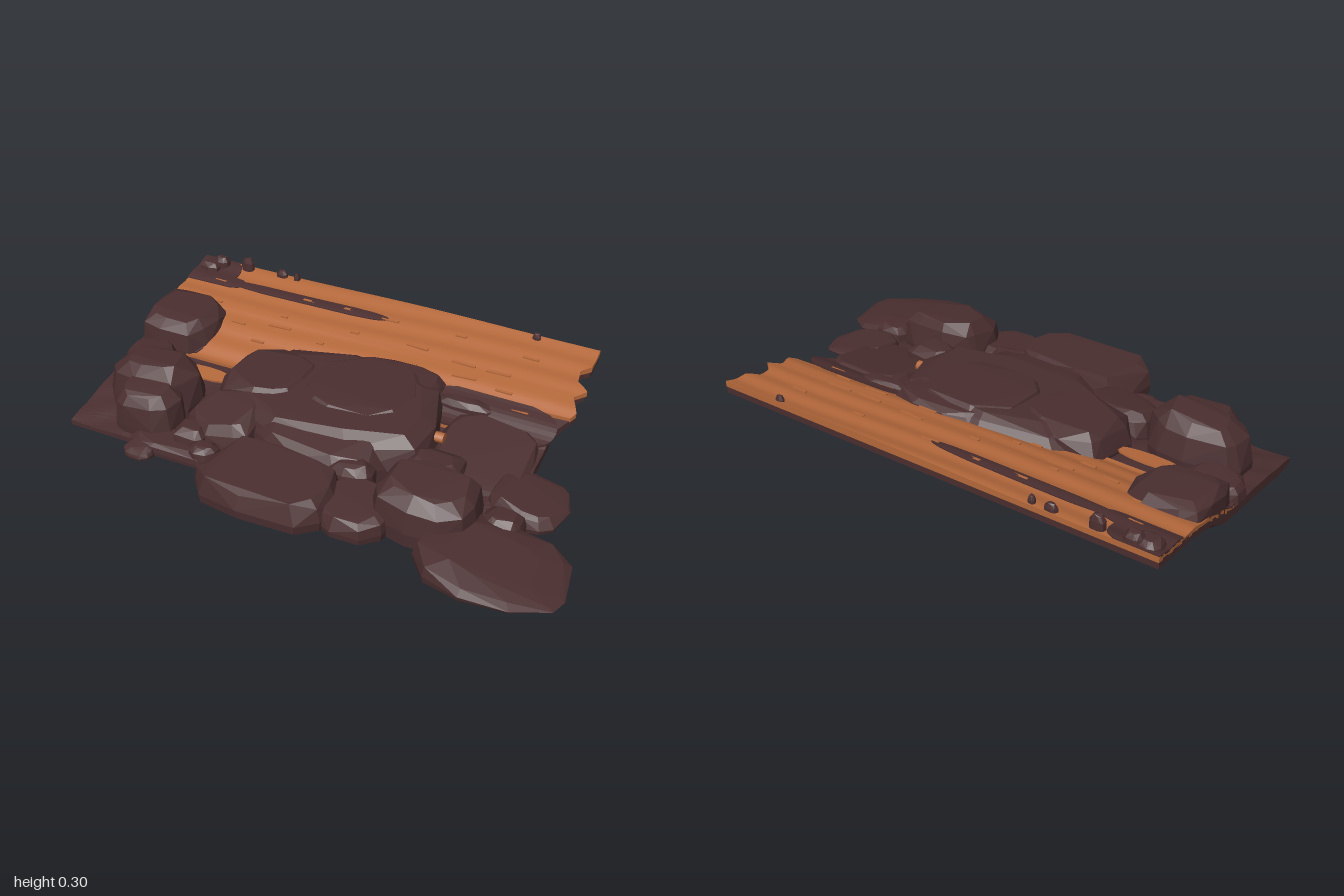
import * as THREE from 'three';
import { ConvexGeometry } from 'three/addons/geometries/ConvexGeometry.js';

// Seeded noise for chipped rock corners and splinters
let seed = 11;
const rnd = () => (seed = (seed * 16807) % 2147483647) / 2147483647;
const jit = (a) => (rnd() - 0.5) * 2 * a;

// Piecewise linear lookup in [[key, value], ...]
function lookup(table, k) {
  for (let i = 1; i < table.length; i++) {
    const [a, va] = table[i - 1], [b, vb] = table[i];
    if (k <= b) return va + (vb - va) * Math.max(0, (k - a) / (b - a));
  }
  return table[table.length - 1][1];
}

// Profiles along z: underside, top of the bedrock, and the broken right edge
const UNDER = [[-0.63, 0.2], [-0.4, 0.168], [-0.25, 0.125], [-0.17, 0.075], [0.1, 0.035], [0.3, 0], [0.64, 0.012]];
const TOP = [[-0.63, 0.23], [-0.36, 0.185], [-0.25, 0.15], [-0.12, 0.1], [0.05, 0.08], [0.25, 0.05], [0.38, 0.022]];
const RIGHT = [[-0.53, 0.745], [-0.5, 0.71], [-0.44, 0.72], [-0.4, 0.77], [-0.36, 0.73], [-0.29, 0.765], [-0.2, 0.71], [0.38, 0.71]];
const under = (z) => lookup(UNDER, z);
const top = (z) => lookup(TOP, z);
const right = (z) => lookup(RIGHT, z);
// Boards: shallow lengthwise ridges and a soft swell in the middle
const wood = (x, z) => top(z) + 0.013 + 0.003 * Math.sin(z * 58 + Math.sin(x * 3)) + 0.007 * Math.exp(-x * x * 5);

// Closed sheet between two height functions, lofted along z
function sheet(z0, z1, nz, nx, left, rightEdge, low, high) {
  const pos = [], idx = [], m = nx + 1, ring = 2 * m;
  for (let r = 0; r <= nz; r++) {
    const z = z0 + (z1 - z0) * r / nz, a = left(z), b = rightEdge(z);
    for (let i = 0; i < m; i++) { const x = a + (b - a) * i / nx; pos.push(x, high(x, z), z); }
    for (let i = nx; i >= 0; i--) { const x = a + (b - a) * i / nx; pos.push(x, low(x, z), z); }
  }
  for (let r = 0; r < nz; r++) for (let i = 0; i < ring; i++) {
    const a = r * ring + i, b = r * ring + (i + 1) % ring, c = a + ring, d = b + ring;
    idx.push(a, c, b, b, c, d);
  }
  const e = nz * ring;
  for (let i = 0; i < nx; i++) {
    const p = i + 1, q = ring - 2 - i, s = ring - 1 - i;
    idx.push(i, p, q, i, q, s, e + i, e + q, e + p, e + i, e + s, e + q);
  }
  const indexed = new THREE.BufferGeometry();
  indexed.setAttribute('position', new THREE.Float32BufferAttribute(pos, 3));
  indexed.setIndex(idx);
  const g = indexed.toNonIndexed();
  g.computeVertexNormals();
  return g;
}

// Chipped stone: a squarish plan outline rising from the sloping underside to a
// smaller tilted top, cut off at the left edge
function stoneGeometry(x, z, rx, rz, y1, tiltX = 0, tiltZ = 0, crown = 0.55) {
  const n = 11, pts = [];
  const square = (v) => Math.sign(v) * Math.abs(v) ** 0.72;
  for (let i = 0; i < n; i++) {
    const a = (i + jit(0.3)) / n * Math.PI * 2, k = 1 + jit(0.05);
    const ox = square(Math.cos(a)) * rx * k, oz = square(Math.sin(a)) * rz * k;
    for (const [inset, t] of [[0.98, 0], [1, 0.3], [0.9, 0.76], [crown, 0.98]]) {
      const f = inset + (inset < 0.95 ? jit(0.08) : 0), px = ox * f, pz = oz * f;
      const base = under(z + pz) + 0.004, peak = y1 + px * tiltX + pz * tiltZ;
      const y = base + (peak - base) * (t + (t > 0.5 ? jit(0.035) : 0));
      pts.push(new THREE.Vector3(Math.max(-1, x + px), Math.max(y, base), z + pz));
    }
  }
  return new ConvexGeometry(pts);
}

// Stones by area: x, z, half width, half depth, top, tiltX, tiltZ, crown
const HEAP = {
  centreHeap: [-0.07, -0.01, 0.43, 0.28, 0.2, 0.02, -0.08, 0.76],
  heapCap: [0.02, -0.07, 0.24, 0.2, 0.212, 0, -0.05, 0.8],
  heapBackStone: [0.08, -0.2, 0.21, 0.11, 0.208, 0, -0.03, 0.75],
  heapLeftStone: [-0.35, -0.03, 0.19, 0.18, 0.205, 0.03, -0.06, 0.7],
  heapFrontStone: [-0.02, 0.2, 0.28, 0.12, 0.165, 0, -0.22, 0.72],
  heapFrontLeftStone: [-0.41, 0.2, 0.15, 0.13, 0.155, 0.1, -0.25, 0.7],
  frontSlab: [-0.1, 0.44, 0.27, 0.16, 0.135, 0, -0.06, 0.84],
  frontStep: [0.22, 0.41, 0.14, 0.13, 0.1, 0, -0.1, 0.75],
};
const RIGHT_SIDE = {
  rightBlock: [0.52, -0.01, 0.2, 0.19, 0.118, -0.05, -0.2, 0.85],
  rightShelf: [0.74, 0.11, 0.14, 0.13, 0.085, -0.18, 0, 0.75],
  rightFrontBoulder: [0.45, 0.33, 0.19, 0.14, 0.2, -0.04, -0.08, 0.68],
  lowRightSlab: [0.73, 0.44, 0.255, 0.195, 0.075, -0.2, -0.06, 0.55],
};
const LEFT_SIDE = {
  backLeftBoulder: [-0.87, -0.24, 0.17, 0.15, 0.232, -0.06, -0.05, 0.7],
  leftStone: [-0.9, -0.03, 0.11, 0.09, 0.15, 0.1, 0, 0.7],
  leftBoulder: [-0.75, 0.14, 0.19, 0.12, 0.25, 0.05, 0, 0.58],
  leftFrontBoulder: [-0.71, 0.26, 0.14, 0.1, 0.205, 0, -0.2, 0.68],
  leftFrontFoot: [-0.55, 0.35, 0.2, 0.07, 0.06, 0, -0.1, 0.7],
  leftFrontToe: [-0.66, 0.41, 0.06, 0.06, 0.045, 0, -0.2, 0.6],
};
// Lesser stones wedged in the gaps, and pebbles on the back edge: x, z, half width, half depth, top
const SMALL = [
  [-0.5, 0.3, 0.07, 0.07, 0.11], [-0.42, 0.36, 0.06, 0.05, 0.085], [0.14, 0.28, 0.09, 0.06, 0.14],
  [0.7, 0.27, 0.08, 0.06, 0.1], [0.4, 0.14, 0.11, 0.08, 0.15], [0.36, -0.2, 0.12, 0.035, 0.175],
  [-0.94, -0.58, 0.05, 0.045, 0.262], [-0.9, -0.6, 0.035, 0.028, 0.28], [-0.78, -0.61, 0.028, 0.018, 0.295],
  [-0.62, -0.615, 0.025, 0.014, 0.272], [-0.55, -0.615, 0.014, 0.012, 0.272], [0.5, -0.615, 0.018, 0.012, 0.265],
];
// Soil and stone stains lying on the boards: x0, x1, z0, z1
const PATCHES = [[-1, -0.8, -0.63, -0.49], [-1, -0.74, -0.54, -0.475], [-0.8, -0.08, -0.53, -0.482],
  [0.2, 0.73, -0.27, -0.1], [-1, -0.72, -0.3, -0.1]];

export function createModel() {
  seed = 11;
  const stone = new THREE.MeshStandardMaterial({ color: 0x4a2e2f });
  stone.name = 'dark stone';
  const timber = new THREE.MeshStandardMaterial({ color: 0xb4683b });
  timber.name = 'orange timber';
  const model = new THREE.Group();
  model.name = 'rockyLedge';
  const add = (name, geometry, material, parent = model) => {
    const mesh = new THREE.Mesh(geometry, material);
    mesh.name = name;
    parent.add(mesh);
    return mesh;
  };
  const group = (name) => {
    const g = new THREE.Group();
    g.name = name;
    model.add(g);
    return g;
  };

  // Bedrock and the boards lying over its raised back
  add('bedrock', sheet(-0.63, 0.38, 60, 30, () => -1, right, (x, z) => under(z),
    (x, z) => top(z) + 0.004 * Math.sin(x * 23 + z * 9) * Math.sin(z * 31)), stone);
  add('boards', sheet(-0.631, -0.1, 64, 44, () => -1, (z) => (z > -0.265 ? 0.55 : right(z) + 0.003),
    (x, z) => top(z) - 0.006, wood), timber);

  // Thin stains following the boards
  const patches = group('stonePatches');
  for (const [x0, x1, z0, z1] of PATCHES) {
    const zm = (z0 + z1) / 2, xm = (x0 + x1) / 2, hx = (x1 - x0) / 2;
    const bulge = (z) => hx * (0.55 + 0.45 * Math.sqrt(Math.max(0, 1 - ((z - zm) / (z1 - z0) * 2) ** 2)));
    add('stonePatch', sheet(z0, z1, 10, 24, (z) => (x0 === -1 ? -1 : xm - bulge(z)), (z) => xm + bulge(z),
      (x, z) => wood(x, z) - 0.005, (x, z) => wood(x, z) + 0.004), stone, patches);
  }

  // Exposed bits of board between the stones
  const bare = add('bareBoard', new THREE.CylinderGeometry(0.13, 0.13, 0.008, 14), timber);
  bare.scale.z = 0.27;
  bare.position.set(-0.645, 0.103, -0.02);
  bare.rotation.x = 0.12;
  const chip = add('boardChip', new THREE.CylinderGeometry(0.02, 0.02, 0.08, 9), timber);
  chip.rotation.z = Math.PI / 2;
  chip.position.set(0.335, 0.132, 0.005);

  // Raised splinters scattered in rows along the boards
  const splinters = group('splinters');
  for (const z of [-0.5, -0.39, -0.31, -0.24]) for (let i = 0; i < 6; i++) {
    const x = -0.75 + i * 0.25 + jit(0.1), zz = z + jit(0.02);
    const s = add('splinter', new THREE.BoxGeometry(0.03 + rnd() * 0.07, 0.006, 0.012), timber, splinters);
    s.position.set(x, wood(x, zz) + 0.001, zz);
    s.rotation.set(0.1, jit(0.06), 0);
  }

  // Boulders and slabs piled on the bedrock
  const boulders = group('boulders');
  for (const area of [HEAP, RIGHT_SIDE, LEFT_SIDE])
    for (const [name, shape] of Object.entries(area)) add(name, stoneGeometry(...shape), stone, boulders);

  // Small stones and pebbles
  const rubble = group('rubble');
  for (const shape of SMALL) add('smallStone', stoneGeometry(...shape), stone, rubble);

  return model;
}
